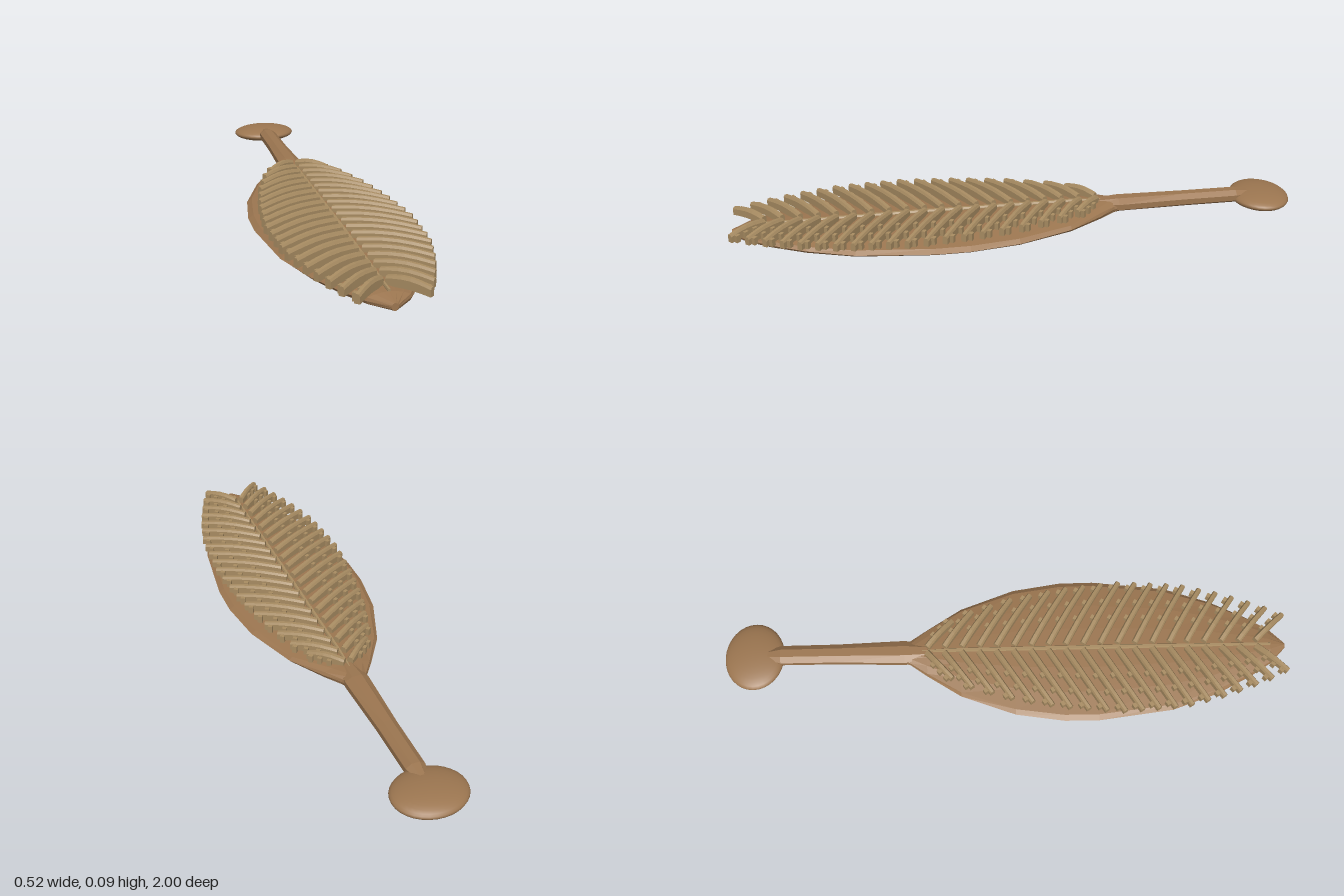
import * as THREE from 'three';

const wood = new THREE.MeshStandardMaterial({ color: 0x9c7650, flatShading: true });
const carved = new THREE.MeshStandardMaterial({ color: 0xa88c62, flatShading: true });
const smoothWood = new THREE.MeshStandardMaterial({ color: 0x9c7650 });

// Skin a list of closed rings (each an array of [x, y, z]) and close both ends
function loft(rings) {
  const n = rings[0].length;
  const middle = (r) => [0, 1, 2].map((k) => r.reduce((sum, p) => sum + p[k], 0) / n);
  const first = Array(n).fill(middle(rings[0]));
  const last = Array(n).fill(middle(rings[rings.length - 1]));
  const all = [first, ...rings, last];
  const index = [];
  for (let i = 0; i < all.length - 1; i++) {
    for (let j = 0; j < n; j++) {
      const a = i * n + j, b = i * n + (j + 1) % n, c = a + n, d = b + n;
      if (i > 0) index.push(a, b, c);
      if (i < all.length - 2) index.push(b, d, c);
      else index.push(a, b, c);
    }
  }
  const geometry = new THREE.BufferGeometry();
  geometry.setAttribute('position', new THREE.Float32BufferAttribute(all.flat(2), 3));
  geometry.setIndex(index);
  geometry.computeVertexNormals();
  return geometry;
}

// Linear interpolation in a short list of [position, value]
function along(list, x) {
  if (x <= list[0][0]) return list[0][1];
  for (let i = 1; i < list.length; i++) {
    const [x0, v0] = list[i - 1], [x1, v1] = list[i];
    if (x <= x1) return v0 + (v1 - v0) * (x - x0) / (x1 - x0);
  }
  return list[list.length - 1][1];
}

// Lens section of the blade, counterclockwise
const quarter = [[1, 0], [0.93, 0.42], [0.62, 0.76], [0.28, 0.95]];
const lens = [
  ...quarter, [0, 1],
  ...quarter.slice(1).reverse().map(([u, v]) => [-u, v]), [-1, 0],
  ...quarter.slice(1).map(([u, v]) => [-u, -v]), [0, -1],
  ...quarter.slice(1).reverse().map(([u, v]) => [u, -v]),
];

// Sweep a bevelled bar over stations of { x, z, low, high, half }, heading (dx, dz)
function bar(stations, dx, dz) {
  const len = Math.hypot(dx, dz);
  const ex = dz / len, ez = -dx / len;
  const section = [[1, 0], [1, 0.75], [0.55, 1], [-0.55, 1], [-1, 0.75], [-1, 0]];
  return loft(stations.map((s) => section.map(([u, v]) => [
    s.x + ex * u * s.half, s.low + (s.high - s.low) * v, s.z + ez * u * s.half])));
}

// Half width of the carved feather at the z where a barb ends
const featherEdge = [[-0.25, 0.065], [-0.16, 0.13], [0.03, 0.19], [0.2, 0.222], [0.4, 0.243],
  [0.63, 0.228], [0.78, 0.19], [0.85, 0.165], [0.92, 0.14], [0.99, 0.106]];

// One arched barb with small nubs along its rear edge
function makeBarb(side, z0) {
  const barb = new THREE.Group();
  barb.name = side > 0 ? 'leftBarb' : 'rightBarb';
  const run = along([[-0.28, 0.09], [0, 0.13], [0.3, 0.14], [0.9, 0.105]], z0);
  const x0 = 0.01, x1 = along(featherEdge, z0 + run);
  const at = (t) => ({
    x: side * (x0 + (x1 - x0) * t),
    z: z0 + run * (0.93 * t + 0.07 * t * t),
    low: 0.052 + 0.006 * Math.sin(Math.PI * t),
    high: 0.08 + 0.012 * Math.sin(Math.PI * Math.min(1, t * 0.92 + 0.06)),
    half: 0.011 - 0.002 * t,
  });
  const dx = side * (x1 - x0), dz = run;
  const stations = [0, 0.15, 0.35, 0.55, 0.75, 0.9, 1].map(at);
  const shaft = new THREE.Mesh(bar(stations, dx, dz), carved);
  shaft.name = 'barbShaft';
  barb.add(shaft);
  for (const t of [0.4, 0.66, 0.9]) {
    const p = at(t);
    const nub = new THREE.Mesh(new THREE.BoxGeometry(0.016, 0.026, 0.014), carved);
    nub.name = 'barbNub';
    nub.position.set(p.x + side * 0.007, 0.064, p.z - 0.013);
    nub.rotation.y = -Math.atan2(dz, dx);
    barb.add(nub);
  }
  return barb;
}

export function createModel() {
  const model = new THREE.Group();
  model.name = 'paddle';
  const add = (name, geometry, material) => {
    const mesh = new THREE.Mesh(geometry, material);
    mesh.name = name;
    model.add(mesh);
    return mesh;
  };

  // Blade: rows of z, half width, bottom, top
  const rows = [
    [-0.37, 0.036, 0.016, 0.066], [-0.34, 0.045, 0.013, 0.064], [-0.28, 0.088, 0.01, 0.062],
    [-0.16, 0.165, 0.007, 0.061], [0.03, 0.235, 0.005, 0.061], [0.2, 0.261, 0.004, 0.061],
    [0.32, 0.262, 0.004, 0.061], [0.58, 0.23, 0.005, 0.061], [0.74, 0.175, 0.006, 0.06],
    [0.86, 0.115, 0.008, 0.059], [0.94, 0.066, 0.012, 0.057], [0.995, 0.01, 0.022, 0.046],
  ];
  add('blade', loft(rows.map(([z, w, low, high]) =>
    lens.map(([u, v]) => [u * w, (low + high) / 2 + v * (high - low) / 2, z]))), wood);

  // Handle: tapered octagonal shaft running into the grip
  const shaft = [[-0.9, 0.004, 0.008], [-0.8, 0.033, 0.024], [-0.6, 0.034, 0.024],
    [-0.36, 0.042, 0.025], [-0.28, 0.03, 0.02]];
  add('handle', loft(shaft.map(([z, w, h]) => Array.from({ length: 8 }, (_, k) => {
    const a = (k + 0.5) * Math.PI / 4;
    return [Math.cos(a) * w * 1.08, 0.043 + Math.sin(a) * h * 1.08, z];
  }))), wood);

  // Flattened grip at the end of the handle
  const grip = add('grip', new THREE.SphereGeometry(1, 32, 16), smoothWood);
  grip.scale.set(0.124, 0.029, 0.105);
  grip.position.set(0, 0.034, -0.895);

  // Midrib of the carved feather
  const ribs = [[-0.3, 0.003, 0.064], [-0.2, 0.007, 0.07], [0.4, 0.008, 0.07], [0.94, 0.005, 0.064]];
  add('midrib', bar(ribs.map(([z, half, high]) => ({ x: 0, z, low: 0.045, high, half })), 0, 1), carved);

  // Mirrored barbs
  const count = 20;
  for (let i = 0; i < count; i++) {
    const z0 = -0.28 + 1.165 * i / (count - 1);
    for (const side of [-1, 1]) model.add(makeBarb(side, z0));
  }
  return model;
}
